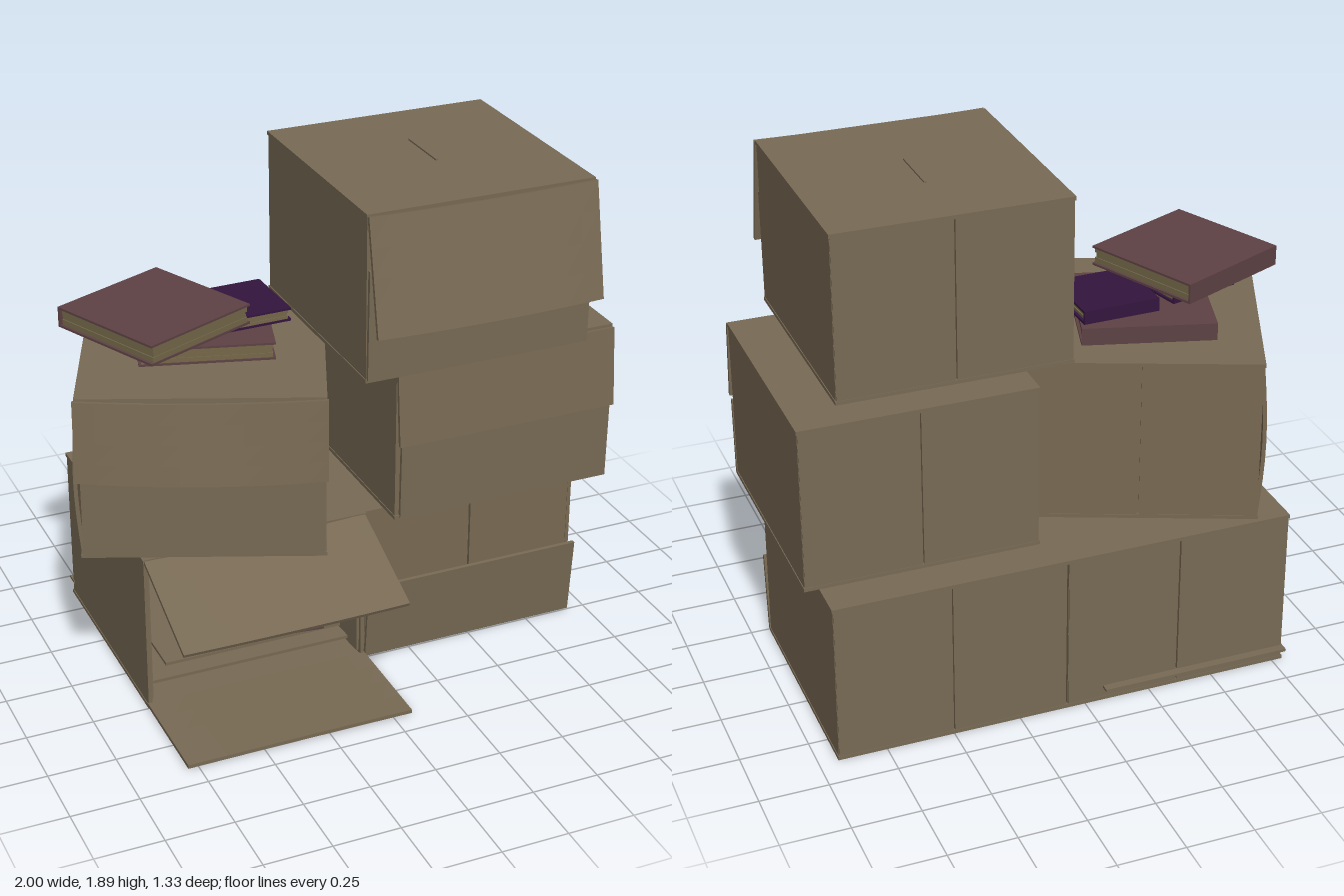
import * as THREE from 'three';

const T = 0.014; // cardboard thickness
const mat = (color) => new THREE.MeshStandardMaterial({ color, flatShading: true });
const CARD = mat(0x786a54), PLUM = mat(0x5e4244), PURPLE = mat(0x34153e), PAGES = mat(0x75684a);

function box(parent, name, size, pos, material = CARD) {
  const m = new THREE.Mesh(new THREE.BoxGeometry(...size), material);
  m.name = name;
  m.position.set(...pos);
  parent.add(m);
  return m;
}

// Flap hinged along its upper edge; bow lets the middle of the sheet droop
function flap(parent, name, w, len, pos, angle, bow = 0) {
  const g = new THREE.BoxGeometry(w, len, T, 12, 4, 1).translate(0, -len / 2, 0);
  const p = g.attributes.position;
  for (let i = 0; i < p.count; i++) {
    const k = bow * (1 - (2 * p.getX(i) / w) ** 2);
    p.setY(i, p.getY(i) - k);
    p.setZ(i, p.getZ(i) - k * p.getY(i) / len);
  }
  g.computeVertexNormals();
  const m = new THREE.Mesh(g, CARD);
  m.name = name;
  m.position.set(...pos);
  m.rotation.x = angle;
  parent.add(m);
}

// Hollow carton lying on its side, with its mouth towards +z and its origin at the base
function carton(root, name, pos, { w = 0.86, h = 0.62, d = 0.87, turn = 0, open = false, bulge = 0 } = {}) {
  const g = new THREE.Group();
  g.name = name;
  g.position.set(...pos);
  g.rotation.y = turn;
  root.add(g);
  box(g, 'topPanel', [w, T, d], [0, h - T / 2, 0]);
  box(g, 'bottomPanel', [w, T, d], [0, T / 2, 0]);
  for (const s of [-1, 1]) {
    const geo = new THREE.BoxGeometry(T, h - 2 * T, d - 0.01, 1, 8, 1);
    const p = geo.attributes.position;
    for (let i = 0; i < p.count; i++) {
      if (s < 0) p.setX(i, p.getX(i) - bulge * Math.cos(Math.PI * p.getY(i) / (h - 2 * T)));
    }
    geo.computeVertexNormals();
    const side = new THREE.Mesh(geo, CARD);
    side.name = 'sidePanel';
    side.position.set(s * (w / 2 - T / 2 - 0.003), h / 2, 0);
    g.add(side);
    // paired back flaps leave a narrow seam
    box(g, 'backFlap', [w / 2 - 0.008, h - 0.02, T], [s * (w / 4 - 0.001), h / 2, -d / 2 + T / 2 + 0.002]);
    if (!open) box(g, 'innerFrontFlap', [w / 2 - 0.012, h - 0.03, T], [s * (w / 4 - 0.002), h / 2, d / 2 - T]);
  }
  box(g, 'backLining', [w - 2 * T, h - 2 * T, T], [0, h / 2, -d / 2 + 1.5 * T]);
  return g;
}

// Book with covers, a spine at the back and a recessed page block
function book(root, [x, y, z], w, h, d, turn, cover = PLUM) {
  const g = new THREE.Group();
  g.name = 'book';
  g.position.set(x, y, z);
  g.rotation.y = turn;
  root.add(g);
  const c = 0.008;
  box(g, 'lowerCover', [w, c, d], [0, c / 2, 0], cover);
  box(g, 'upperCover', [w, c, d], [0, h - c / 2, 0], cover);
  box(g, 'spine', [w, h, c], [0, h / 2, -d / 2 + c / 2], cover);
  for (let i = 0; i < 3; i++) { // page bundles
    const ph = (h - 2 * c) / 3;
    box(g, 'pages', [w - 0.02 - 0.008 * (i % 2), ph, d - 0.015], [0, c + ph * (i + 0.5), 0.004 - 0.003 * (i % 2)], PAGES);
  }
}

export function createModel() {
  const root = new THREE.Group();
  root.name = 'cartonStack';
  const UP = -(Math.PI - 0.02);

  // Open carton, lower row
  const a = carton(root, 'openCarton', [-0.36, 0.005, -0.19], { open: true, d: 0.88 });
  flap(a, 'raisedFlap', 0.85, 0.42, [0, 0.61, 0.435], -1.18, 0.012);
  flap(a, 'loweredFlap', 0.86, 0.42, [0, 0.012, 0.43], -Math.PI / 2, 0.006);
  box(a, 'rearLip', [0.72, 0.01, 0.05], [-0.07, 0.055, -0.445]);
  for (const s of [-1, 1]) { // side flaps folded into the carton
    const f = new THREE.Group();
    f.name = 'foldedSideFlap';
    f.position.set(s * 0.41, 0.31, 0.42);
    f.rotation.y = s * (s < 0 ? 0.28 : 0.06);
    a.add(f);
    box(f, 'sideFlap', [T, 0.57, 0.38], [0, 0, -0.19]);
  }
  box(a, 'looseSheet', [0.8, 0.012, 0.6], [0, 0.045, 0.05]);
  box(a, 'looseSheet', [0.7, 0.012, 0.5], [0.04, 0.075, 0.05]);
  book(a, [0.1, 0.09, 0.08], 0.48, 0.07, 0.44, -0.12);
  book(a, [0.06, 0.165, 0.04], 0.42, 0.05, 0.4, 0.2);
  book(a, [0.24, 0.18, 0.16], 0.28, 0.06, 0.28, -0.05);

  // Closed carton, lower row
  const b = carton(root, 'lowerCarton', [0.5, 0.005, -0.195]);
  flap(b, 'lowerFlap', 0.86, 0.31, [0, 0.006, 0.44], -(Math.PI - 0.09));

  // Closed carton, middle row
  const c = carton(root, 'middleCarton', [0.56, 0.64, -0.075]);
  flap(c, 'lowerFlap', 0.84, 0.3, [0.01, 0.005, 0.435], UP);
  flap(c, 'upperFlap', 0.86, 0.3, [0, 0.61, 0.442], -0.09);

  // Turned carton, middle row
  const d = carton(root, 'turnedCarton', [-0.425, 0.64, -0.07], { turn: -0.39, bulge: 0.018 });
  flap(d, 'lowerFlap', 0.84, 0.3, [0, 0.005, 0.435], UP);
  flap(d, 'upperFlap', 0.87, 0.3, [0, 0.615, 0.443], -0.08, 0.012);

  // Top carton with its flap hanging away
  const e = carton(root, 'topCarton', [0.39, 1.27, 0.035]);
  flap(e, 'lowerFlap', 0.85, 0.41, [0, 0.01, 0.437], UP);
  flap(e, 'upperFlap', 0.86, 0.42, [0, 0.615, 0.445], -0.2, 0.006);
  box(e, 'topSeam', [0.008, 0.012, 0.22], [0, 0.62, -0.035]);

  // Books piled on the turned carton
  book(root, [-0.41, 1.265, -0.125], 0.48, 0.065, 0.46, -0.28);
  book(root, [-0.275, 1.333, -0.115], 0.29, 0.05, 0.28, 0.03, PURPLE);
  book(root, [-0.595, 1.333, -0.05], 0.28, 0.048, 0.28, 0.25, PURPLE);
  book(root, [-0.62, 1.385, -0.03], 0.47, 0.075, 0.47, 0.415);
  return root;
}
